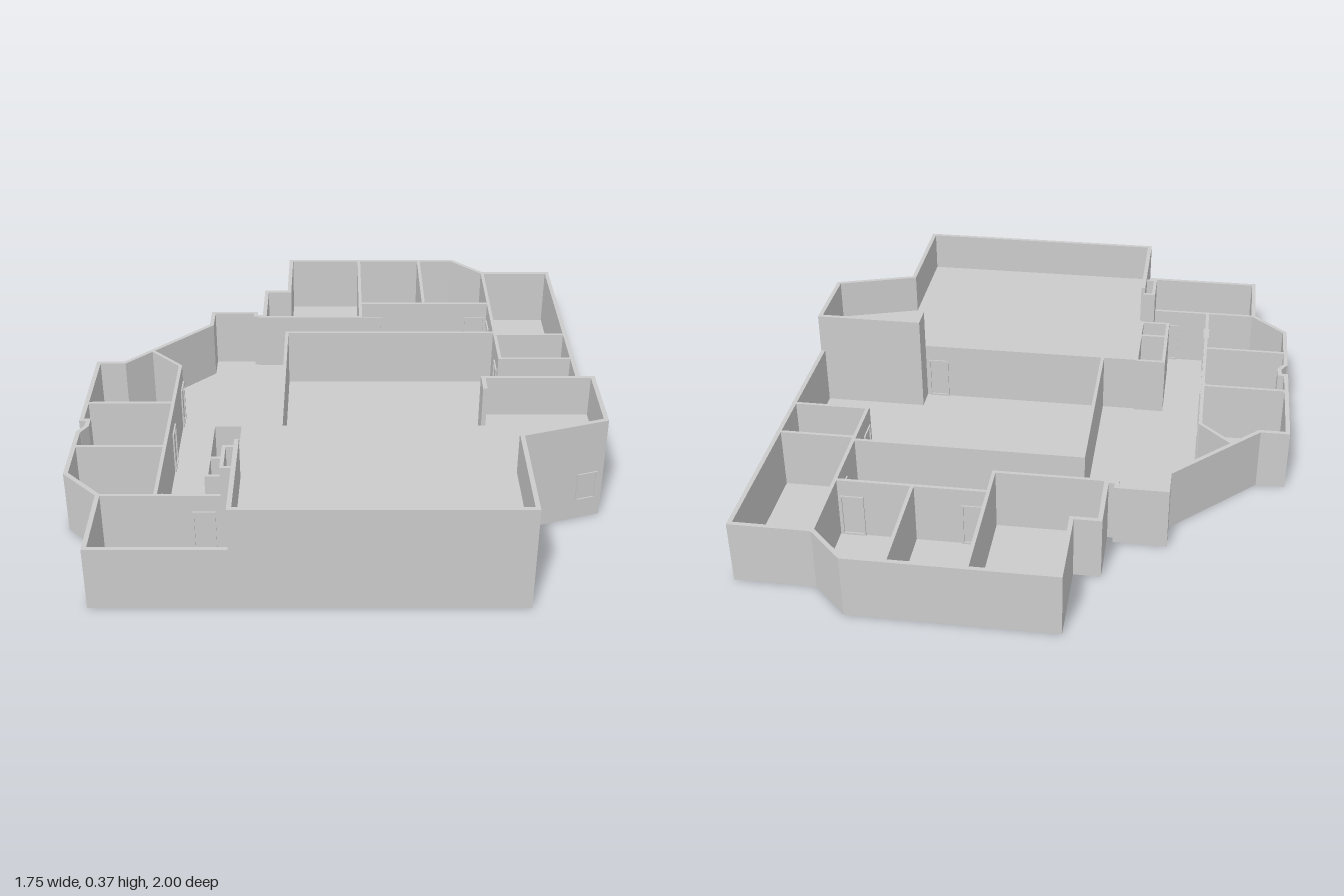
import * as THREE from 'three';

const LOW = 0.22, HIGH = 0.365, T = 0.015;

export function createModel() {
  const model = new THREE.Group();
  const material = new THREE.MeshStandardMaterial({ color: 0xcccccc, flatShading: true });

  const add = (name, geometry) => {
    const mesh = new THREE.Mesh(geometry, material);
    mesh.name = name;
    model.add(mesh);
    return mesh;
  };

  // Plan points are [x, z]; extrude them upwards between two heights
  const toVec = ([x, z]) => new THREE.Vector2(x, -z);
  const prism = (name, points, y0, y1, hole) => {
    const shape = new THREE.Shape(points.map(toVec));
    if (hole) shape.holes.push(new THREE.Path(hole.map(toVec)));
    const geometry = new THREE.ExtrudeGeometry(shape, { depth: y1 - y0, bevelEnabled: false });
    geometry.rotateX(-Math.PI / 2).translate(0, y0, 0);
    return add(name, geometry);
  };

  // Mitred inward offset of a plan path
  const inset = (path, t, closed) => path.map(([x, z], i) => {
    const n = path.length;
    const normal = (a, b) => {
      const dx = b[0] - a[0], dz = b[1] - a[1], l = Math.hypot(dx, dz);
      return [dz / l, -dx / l];
    };
    const before = closed || i > 0 ? normal(path[(i + n - 1) % n], path[i]) : null;
    const after = closed || i < n - 1 ? normal(path[i], path[(i + 1) % n]) : null;
    const a = before || after, b = after || before;
    const k = t / (1 + a[0] * b[0] + a[1] * b[1]);
    return [x + (a[0] + b[0]) * k, z + (a[1] + b[1]) * k];
  });

  // Straight wall centred on a plan line
  const wall = (name, [x1, z1, x2, z2], y0 = 0, y1 = LOW, t = 0.012) => {
    const mesh = add(name, new THREE.BoxGeometry(Math.hypot(x2 - x1, z2 - z1) + t, y1 - y0, t));
    mesh.position.set((x1 + x2) / 2, (y0 + y1) / 2, (z1 + z2) / 2);
    mesh.rotation.y = -Math.atan2(z2 - z1, x2 - x1);
    return mesh;
  };

  // Raised rectangular frame around a door or window
  const frame = (name, [x1, z1, x2, z2], y0, y1, depth = 0.022) => {
    const w = Math.hypot(x2 - x1, z2 - z1) / 2, h = (y1 - y0) / 2, b = 0.007;
    const rect = (a, c) => [[-a, -c], [a, -c], [a, c], [-a, c]].map(p => new THREE.Vector2(...p));
    const shape = new THREE.Shape(rect(w, h));
    shape.holes.push(new THREE.Path(rect(w - b, h - b)));
    const geometry = new THREE.ExtrudeGeometry(shape, { depth, bevelEnabled: false });
    geometry.translate(0, 0, -depth / 2);
    const mesh = add(name, geometry);
    mesh.position.set((x1 + x2) / 2, (y0 + y1) / 2, (z1 + z2) / 2);
    mesh.rotation.y = -Math.atan2(z2 - z1, x2 - x1);
  };

  // Ground slab and outer walls
  const outline = [
    [-0.76, 1], [0.59, 1], [0.59, 0.6], [0.87, 0.51], [0.87, -0.88], [0.6, -0.88],
    [0.48, -1], [-0.2, -1], [-0.2, -0.71], [-0.29, -0.71], [-0.29, -0.5], [-0.31, -0.5],
    [-0.31, -0.525], [-0.49, -0.525], [-0.49, -0.42], [-0.78, -0.13], [-0.88, -0.13],
    [-0.88, 0.28], [-0.857, 0.28], [-0.857, 0.31], [-0.875, 0.34], [-0.88, 0.345],
    [-0.88, 0.6], [-0.76, 0.72],
  ];
  prism('groundFloor', outline, 0, 0.006);
  prism('outerWall', outline, 0, LOW, inset(outline, T, true));

  // Raised hall: floor and tall walls, open towards the inner rooms
  const hall = [
    [-0.325, 0.62], [-0.325, 1], [0.59, 1], [0.59, 0.6], [0.87, 0.51],
    [0.87, 0.225], [0.485, 0.225], [0.485, 0.31],
  ];
  prism('hallFloor', [...hall, [-0.325, 0.31]], LOW - 0.01, LOW);
  prism('hallUpperWall', [...hall, ...inset(hall, T, false).reverse()], LOW, HIGH);
  for (const line of [
    [-0.319, 0.316, -0.319, 0.99], [-0.319, 0.316, 0.485, 0.316],
    [0.491, 0.232, 0.491, 0.31], [0.491, 0.232, 0.86, 0.232],
  ]) wall('hallLowerWall', line);

  // Stub pier beside the hall
  wall('pier', [-0.358, 0.62, -0.358, 0.74], 0, 0.34);
  wall('pier', [-0.358, 0.62, -0.325, 0.62], 0, 0.34);
  wall('pier', [-0.358, 0.74, -0.325, 0.74], 0, 0.34);

  // Room partitions
  const partitions = [
    // back rooms
    [-0.3, -0.485, 0.09, -0.485], [0.09, -0.99, 0.09, -0.485], [0.34, -0.99, 0.34, -0.6],
    [0.09, -0.597, 0.595, -0.597],
    // left rooms
    [0.597, -0.875, 0.597, -0.155], [0.597, -0.342, 0.865, -0.342], [0.597, -0.155, 0.865, -0.155],
    // central court
    [-0.192, -0.358, 0.597, -0.358], [-0.192, -0.358, -0.192, 0.31],
    // right rooms
    [-0.572, -0.1, -0.572, 0.715], [-0.572, -0.1, -0.685, -0.212],
    [-0.87, 0.16, -0.572, 0.16], [-0.87, 0.437, -0.572, 0.437], [-0.755, 0.717, -0.36, 0.717],
    // closets
    [-0.42, 0.31, -0.325, 0.31], [-0.42, 0.31, -0.42, 0.61],
    [-0.42, 0.505, -0.325, 0.505], [-0.42, 0.61, -0.325, 0.61],
  ];
  partitions.forEach(line => wall('partition', line));

  // Doors
  const doors = [
    [0.1, -0.597, 0.18, -0.597], [0.505, -0.597, 0.585, -0.597],
    [0.597, -0.565, 0.597, -0.49], [0.597, -0.25, 0.597, -0.17],
    [-0.572, -0.09, -0.572, -0.015], [-0.572, 0.2, -0.572, 0.275],
    [-0.572, 0.625, -0.572, 0.7], [-0.46, 0.717, -0.385, 0.717],
    [0.4, 0.316, 0.475, 0.316],
  ];
  doors.forEach(line => frame('doorFrame', line, 0.006, 0.16));

  // Windows beside the hall corner
  frame('windowFrame', [0.78, 0.536, 0.85, 0.5135], 0.07, 0.175, 0.014);
  frame('windowFrame', [0.59, 0.61, 0.59, 0.69], 0.07, 0.175, 0.01);

  return model;
}
